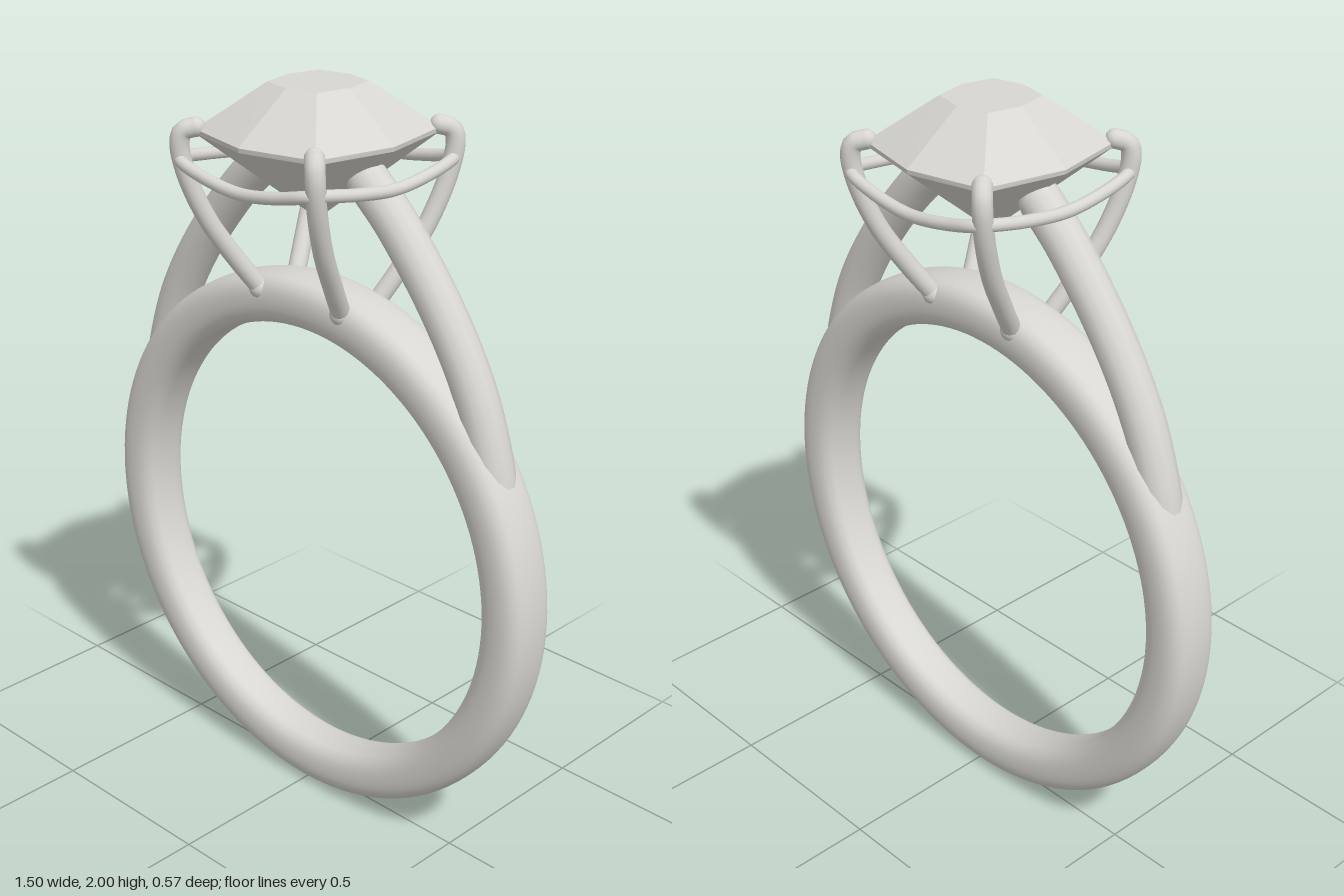
import * as THREE from 'three';
import { ConvexGeometry } from 'three/addons/geometries/ConvexGeometry.js';

const V = (x, y, z) => new THREE.Vector3(x, y, z);

export function createModel() {
  const ring = new THREE.Group();
  ring.name = 'ring';
  const silver = new THREE.MeshStandardMaterial({ color: 0xd8d6d0 });
  silver.name = 'silver grey';

  const add = (name, geometry, parent = ring) => {
    const mesh = new THREE.Mesh(geometry, silver);
    mesh.name = name;
    parent.add(mesh);
    return mesh;
  };
  const ball = (name, p, r, parent) => add(name, new THREE.SphereGeometry(r, 16, 12), parent).position.copy(p);
  const wire = (name, pts, r, parent, closed = false) => add(name,
    new THREE.TubeGeometry(new THREE.CatmullRomCurve3(pts, closed), closed ? 128 : 40, r, 14, closed), parent);

  // Band: a rounded section turned about the finger axis, slightly wider at the top
  const half = [[0.75, 0.03], [0.741, 0.06], [0.72, 0.077], [0.685, 0.083], [0.645, 0.076], [0.622, 0.056], [0.615, 0.025]];
  const section = new THREE.CatmullRomCurve3([
    ...half.map(([r, z]) => V(r, z, 0)),
    ...half.slice().reverse().map(([r, z]) => V(r, -z, 0)),
  ], true);
  const profile = section.getPoints(56).map((p) => new THREE.Vector2(p.x, p.y));
  const bandGeometry = new THREE.LatheGeometry(profile, 128);
  bandGeometry.rotateX(Math.PI / 2).translate(0, 0.75, 0);
  const pos = bandGeometry.attributes.position;
  for (let i = 0; i < pos.count; i++) pos.setZ(i, pos.getZ(i) * (0.86 + 0.11 * pos.getY(i)));
  add('band', bandGeometry);

  // Shoulders sweeping from the band up to the setting
  for (const s of [1, -1]) {
    const shoulder = new THREE.Group();
    shoulder.name = s > 0 ? 'leftShoulder' : 'rightShoulder';
    ring.add(shoulder);
    const path = [[0.612, 1.06], [0.588, 1.17], [0.53, 1.33], [0.425, 1.505], [0.268, 1.695], [0.175, 1.78]]
      .map(([x, y]) => V(s * x, y, 0));
    wire('shoulderArm', path, 0.055, shoulder);
    ball('shoulderTip', path[path.length - 1], 0.055, shoulder);
  }

  // Four claws with hooked tips
  for (const sx of [1, -1]) for (const sz of [1, -1]) {
    const claw = new THREE.Group();
    claw.name = (sz > 0 ? 'front' : 'back') + (sx > 0 ? 'Left' : 'Right') + 'Claw';
    ring.add(claw);
    const path = [[0.145, 1.45, 0.065], [0.175, 1.54, 0.125], [0.205, 1.65, 0.19], [0.228, 1.77, 0.235],
      [0.235, 1.85, 0.248], [0.228, 1.88, 0.242], [0.205, 1.89, 0.22]].map(([x, y, z]) => V(sx * x, y, sz * z));
    wire('clawWire', path, 0.025, claw);
    ball('clawTip', path[path.length - 1], 0.025, claw);
    ball('clawFoot', path[0], 0.03, claw);
  }

  // Gallery wire: a rounded square that dips between the claws
  const corner = (x, z) => [
    V(x * 0.262, 1.795, z * 0.13), V(x * 0.246, 1.808, z * 0.225), V(x * 0.225, 1.808, z * 0.256), V(x * 0.13, 1.788, z * 0.269),
  ];
  wire('galleryWire', [
    V(0.264, 1.782, 0), ...corner(1, 1),
    V(0, 1.773, 0.271), ...corner(-1, 1).reverse(),
    V(-0.264, 1.782, 0), ...corner(-1, -1),
    V(0, 1.773, -0.271), ...corner(1, -1).reverse(),
  ], 0.016, ring, true);

  // Faceted cushion stone: table, thin girdle and pointed base
  const octagon = (y, cx, cz, mx, mz) => [
    V(mx, y, 0), V(cx, y, cz), V(0, y, mz), V(-cx, y, cz),
    V(-mx, y, 0), V(-cx, y, -cz), V(0, y, -mz), V(cx, y, -cz),
  ];
  add('gem', new ConvexGeometry([
    ...octagon(2, 0.085, 0.09, 0.106, 0.11),
    ...octagon(1.884, 0.208, 0.22, 0.256, 0.27),
    ...octagon(1.872, 0.207, 0.219, 0.254, 0.268),
    V(0, 1.652, 0),
  ]));

  return ring;
}
